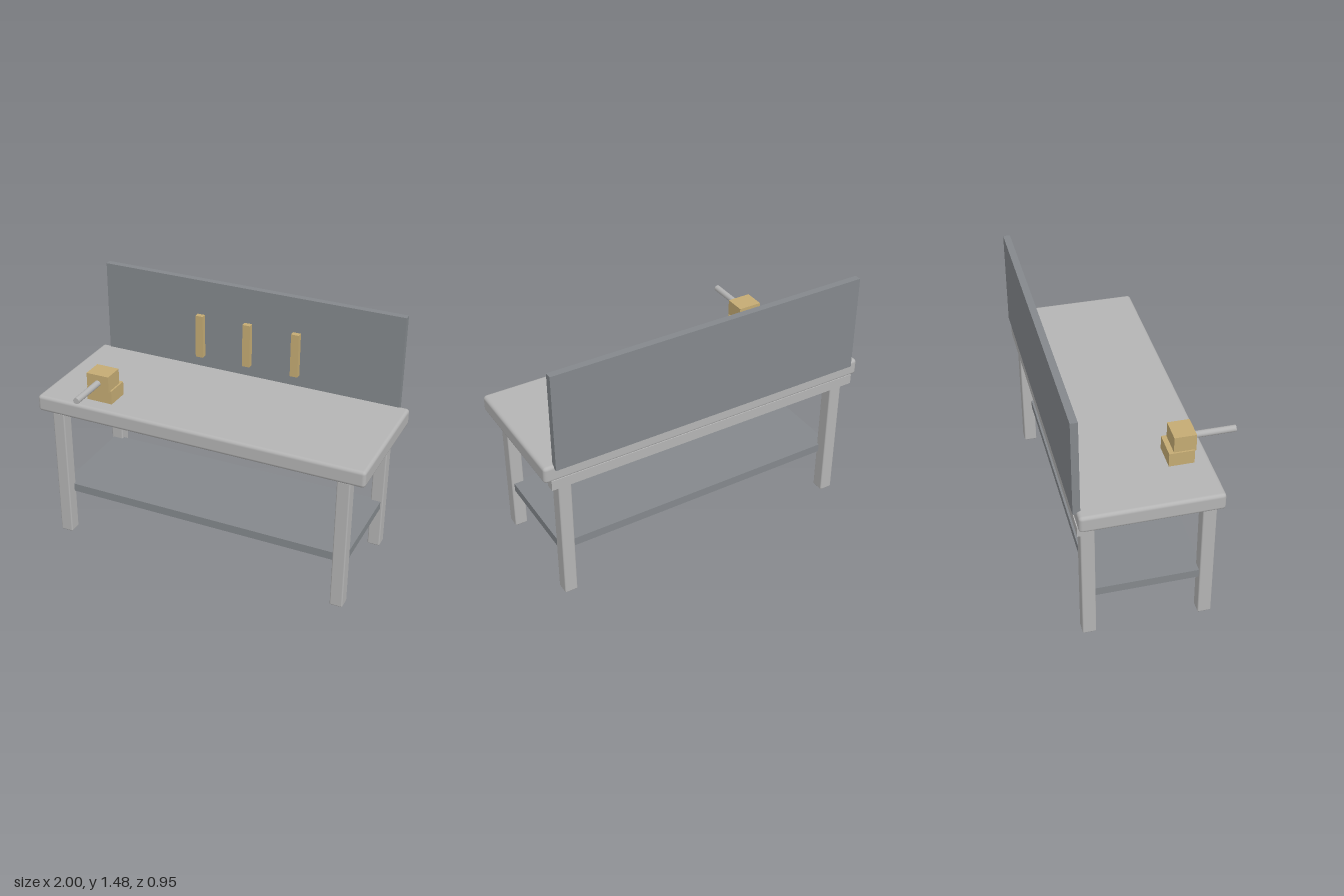
import * as THREE from 'three';
import { RoundedBoxGeometry } from 'three/addons/geometries/RoundedBoxGeometry.js';

const lightSteel = new THREE.MeshStandardMaterial({ name: 'lightSteel', color: 0xb4b4b4 });
const slateGrey = new THREE.MeshStandardMaterial({ name: 'slateGrey', color: 0x84888c });
const brass = new THREE.MeshStandardMaterial({ name: 'brass', color: 0xc4ab73 });

// Box given by its [min, max] range on each axis; a bevel rounds its edges
function block(name, material, [x0, x1], [y0, y1], [z0, z1], bevel = 0) {
  const size = [x1 - x0, y1 - y0, z1 - z0];
  const geometry = bevel
    ? new RoundedBoxGeometry(...size, 2, bevel)
    : new THREE.BoxGeometry(...size);
  const mesh = new THREE.Mesh(geometry, material);
  mesh.name = name;
  mesh.position.set((x0 + x1) / 2, (y0 + y1) / 2, (z0 + z1) / 2);
  return mesh;
}

export function createModel() {
  const bench = new THREE.Group();
  bench.name = 'workbench';

  // Worktop with softened edges, and the rail under its back edge
  bench.add(block('worktop', lightSteel, [-1, 1], [0.82, 0.92], [-0.454, 0.318], 0.02));
  bench.add(block('backRail', lightSteel, [-0.962, 0.962], [0.77, 0.83], [-0.457, -0.41]));

  // Four legs
  for (const side of [-1, 1]) {
    const x = side * 0.877;
    const name = side > 0 ? 'left' : 'right';
    bench.add(block(name + 'FrontLeg', lightSteel, [x - 0.038, x + 0.038], [0, 0.822], [0.223, 0.3], 0.008));
    bench.add(block(name + 'BackLeg', lightSteel, [x - 0.038, x + 0.038], [0, 0.822], [-0.432, -0.355], 0.008));
  }

  // Lower shelf, let into the legs
  bench.add(block('shelf', slateGrey, [-0.9, 0.9], [0.265, 0.315], [-0.375, 0.243]));

  // Upright back panel with three tool hangers
  bench.add(block('backPanel', slateGrey, [-0.94, 0.94], [0.902, 1.475], [-0.473, -0.433]));
  for (const x of [-0.305, 0, 0.305]) {
    bench.add(block('toolHanger', brass, [x - 0.024, x + 0.024], [0.992, 1.26], [-0.435, -0.4]));
  }

  // Vise: base, jaw and screw handle
  const vise = new THREE.Group();
  vise.name = 'vise';
  vise.add(block('viseBase', brass, [-0.714, -0.555], [0.915, 1.002], [0.09, 0.23]));
  vise.add(block('viseJaw', brass, [-0.705, -0.565], [0.994, 1.095], [0.118, 0.24]));
  const handle = new THREE.Mesh(new THREE.CylinderGeometry(0.019, 0.019, 0.255, 12), lightSteel);
  handle.name = 'viseHandle';
  handle.rotation.x = Math.PI / 2;
  handle.position.set(-0.635, 1.043, 0.3475);
  vise.add(handle);
  bench.add(vise);

  return bench;
}
